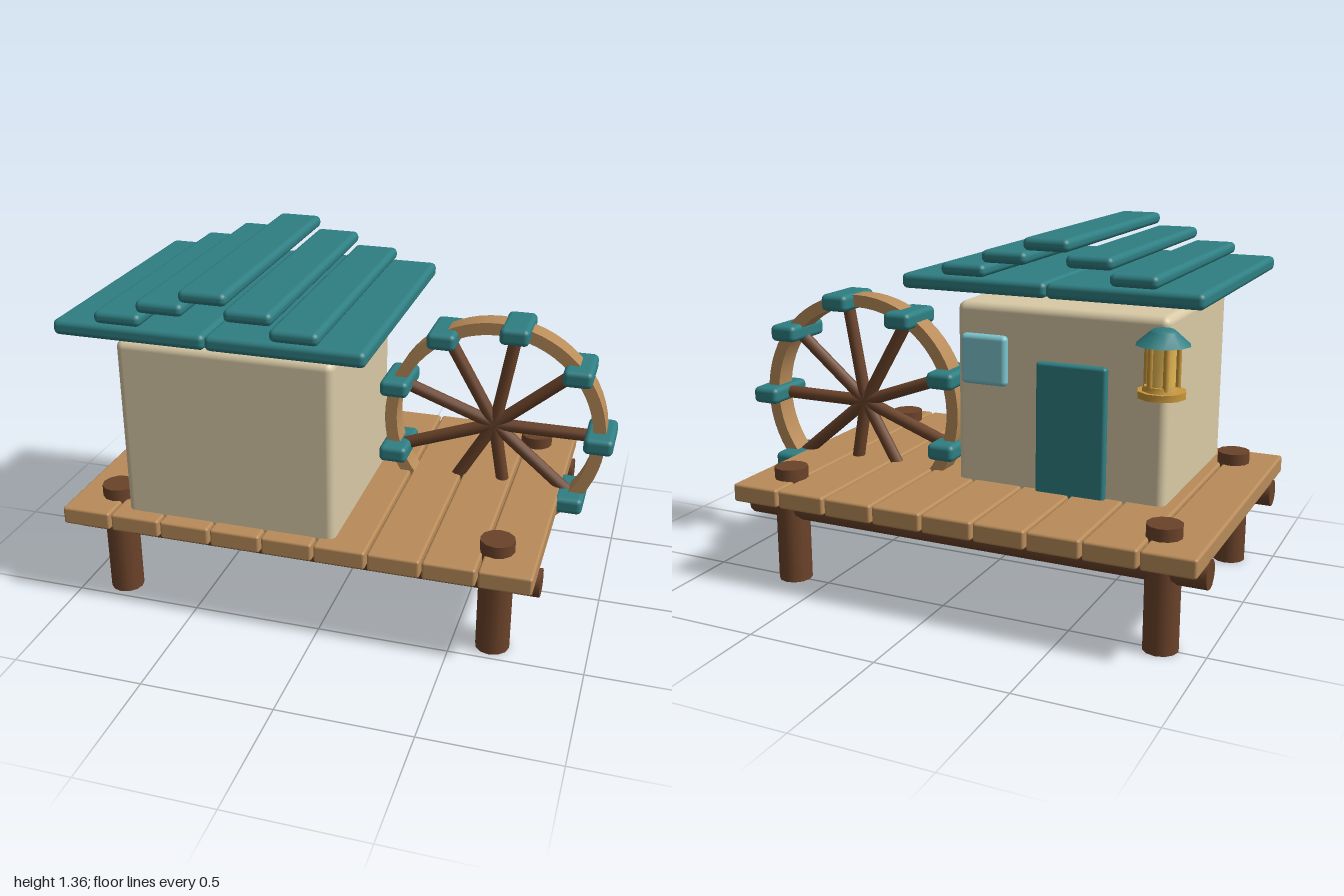
import * as THREE from 'three';
import { RoundedBoxGeometry } from 'three/addons/geometries/RoundedBoxGeometry.js';
import { toCreasedNormals } from 'three/addons/utils/BufferGeometryUtils.js';

const paint = (color) => new THREE.MeshStandardMaterial({ color });
const teal = paint(0x2f7f83);
const tan = paint(0xb98c5a);
const brown = paint(0x6b432a);
const cream = paint(0xd9caa6);
const glass = paint(0x7cc6cf);
const gold = paint(0xc9973a);
const glow = paint(0xe6b955);

function add(parent, name, geometry, material, x = 0, y = 0, z = 0) {
  const mesh = new THREE.Mesh(geometry, material);
  mesh.name = name;
  mesh.position.set(x, y, z);
  parent.add(mesh);
  return mesh;
}

// Rounded box given by its low and high limits on each axis
function slab(parent, name, material, [x0, x1], [y0, y1], [z0, z1], radius) {
  const geometry = new RoundedBoxGeometry(x1 - x0, y1 - y0, z1 - z0, 3, radius);
  return add(parent, name, geometry, material, (x0 + x1) / 2, (y0 + y1) / 2, (z0 + z1) / 2);
}

function group(parent, name) {
  const g = new THREE.Group();
  g.name = name;
  parent.add(g);
  return g;
}

function buildDeck(parent) {
  const deck = group(parent, 'deck');
  const pitch = 0.201;
  for (let i = 0; i < 9; i++) {
    const x = -0.997 + i * pitch;
    slab(deck, 'deckPlank', tan, [x, x + 0.193], [0.34, 0.41], [-0.66, 0.577], 0.01);
  }
  // Posts, and a log beam along each row of posts
  for (const z of [0.413, -0.497]) {
    for (const x of [-0.837, 0.651]) {
      add(deck, 'post', new THREE.CylinderGeometry(0.064, 0.064, 0.455, 12), brown, x, 0.2275, z);
    }
    const beam = add(deck, 'beam', new THREE.CylinderGeometry(0.053, 0.053, 1.815, 12), brown, -0.092, 0.3, z);
    beam.rotation.z = Math.PI / 2;
  }
}

function buildHouse(parent) {
  const house = group(parent, 'house');
  slab(house, 'walls', cream, [-0.75, 0.07], [0.38, 1.095], [-0.23, 0.517], 0.03);
  slab(house, 'door', teal, [-0.53, -0.26], [0.39, 0.9], [-0.256, -0.21], 0.012);
  slab(house, 'window', glass, [-0.14, 0.045], [0.79, 0.98], [-0.256, -0.21], 0.018);

  // Stepped roof: two wide boards with narrow ones climbing to the ridge
  const roof = group(house, 'roof');
  const ridge = -0.34;
  const depth = [-0.37, 0.66];
  for (const side of [-1, 1]) {
    const board = (a, b, y) => {
      const xs = [ridge + side * a, ridge + side * b].sort((p, q) => p - q);
      slab(roof, 'roofBoard', teal, xs, y, depth, 0.02);
    };
    board(0, 0.565, [1.152, 1.208]);
    board(0.232, 0.405, [1.21, 1.256]);
    board(0.073, 0.245, [1.263, 1.309]);
  }
  slab(roof, 'ridgeBoard', teal, [ridge - 0.086, ridge + 0.086], [1.315, 1.361], depth, 0.02);
}

function buildWheel(parent) {
  const wheel = group(parent, 'waterWheel');
  wheel.position.set(0.527, 0.642, -0.142);

  // Square-section rim
  const ring = new THREE.Shape().absarc(0, 0, 0.435, 0, Math.PI * 2);
  ring.holes.push(new THREE.Path().absarc(0, 0, 0.387, 0, Math.PI * 2, true));
  const rim = new THREE.ExtrudeGeometry(ring, { depth: 0.09, bevelEnabled: false, curveSegments: 32 });
  rim.translate(0, 0, -0.045);
  add(wheel, 'rim', toCreasedNormals(rim, 0.6), tan);

  // Spokes, each ending in an upright paddle block
  for (let i = 0; i < 9; i++) {
    const a = (i / 9) * Math.PI * 2;
    const c = Math.cos(a), s = Math.sin(a);
    const spoke = add(wheel, 'spoke', new THREE.CylinderGeometry(0.025, 0.025, 0.4, 10), brown, c * 0.2, s * 0.2, 0);
    spoke.rotation.z = a - Math.PI / 2;
    add(wheel, 'paddle', new RoundedBoxGeometry(0.112, 0.066, 0.225, 3, 0.02), teal, c * 0.412, s * 0.412, 0);
  }
}

function buildLantern(parent) {
  const lantern = group(parent, 'lantern');
  lantern.position.set(-0.755, 0, -0.318);
  const drum = (name, rTop, rBottom, y0, y1, material) => {
    const geometry = new THREE.CylinderGeometry(rTop, rBottom, y1 - y0, 10);
    geometry.rotateY(Math.PI / 10);
    return add(lantern, name, toCreasedNormals(geometry, 0.7), material, 0, (y0 + y1) / 2, 0);
  };
  drum('lanternBase', 0.086, 0.086, 0.838, 0.862, gold);
  drum('lanternCollar', 0.064, 0.07, 0.862, 0.88, gold);
  drum('lanternGlass', 0.052, 0.052, 0.87, 1.02, glow);
  drum('lanternRoof', 0.045, 0.097, 1.02, 1.066, teal);
  drum('lanternCap', 0.035, 0.045, 1.066, 1.073, teal);
  // Corner bars
  for (let i = 0; i < 6; i++) {
    const a = (i / 6) * Math.PI * 2;
    add(lantern, 'lanternBar', new THREE.CylinderGeometry(0.01, 0.01, 0.16, 6), gold,
      Math.cos(a) * 0.056, 0.94, Math.sin(a) * 0.056);
  }
}

export function createModel() {
  const model = new THREE.Group();
  model.name = 'waterMill';
  buildDeck(model);
  buildHouse(model);
  buildWheel(model);
  buildLantern(model);
  return model;
}
